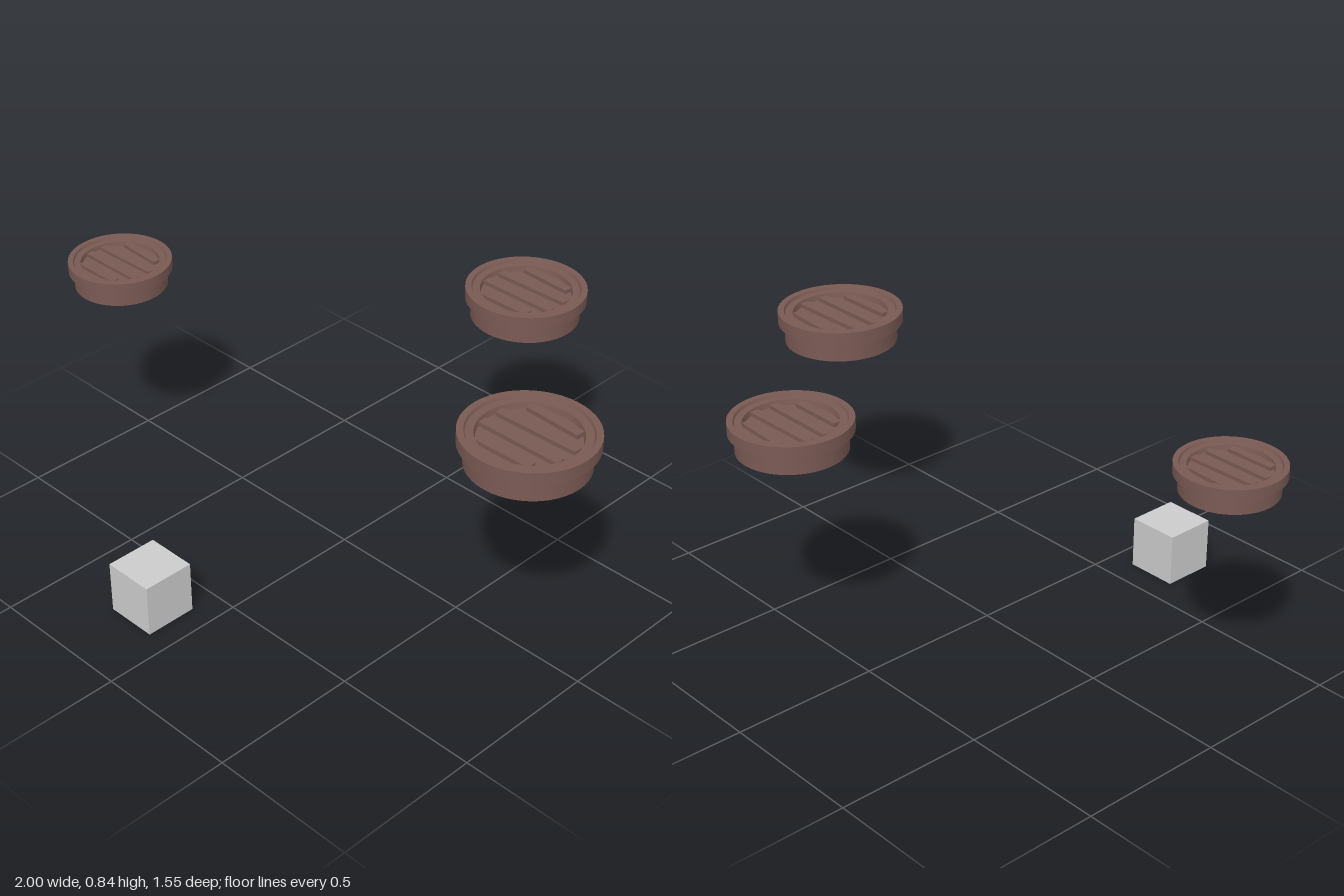
import * as THREE from 'three';
import { toCreasedNormals } from 'three/addons/utils/BufferGeometryUtils.js';

export function createModel() {
  const model = new THREE.Group();
  const brown = new THREE.MeshStandardMaterial({ color: 0x7a5a54 });
  brown.name = 'brown';
  const grey = new THREE.MeshStandardMaterial({ color: 0xcccccc });
  grey.name = 'light grey';

  // Unit-radius dish: narrow body, overhanging rim, stepped ring, sunken floor
  const profile = [
    [0, 0], [0.9, 0], [0.9, 0.325], [1, 0.325], [1, 0.525], [0.9, 0.525],
    [0.88, 0.48], [0.76, 0.48], [0.74, 0.39], [0, 0.39],
  ].map(([r, y]) => new THREE.Vector2(r, y));
  const dishGeometry = toCreasedNormals(new THREE.LatheGeometry(profile, 48), 0.5);

  // Slats across the floor: z position, slight turn
  const slats = [[-0.54, -0.05], [-0.18, 0.02], [0.18, 0], [0.53, 0.01]];

  function addDish(name, x, y, z, radius) {
    const dish = new THREE.Group();
    dish.name = name;
    const body = new THREE.Mesh(dishGeometry, brown);
    body.name = 'rimmedBody';
    dish.add(body);
    slats.forEach(([sz, turn]) => {
      const length = 2 * Math.sqrt(0.72 ** 2 - sz ** 2);
      const slat = new THREE.Mesh(new THREE.BoxGeometry(length, 0.08, 0.15), brown);
      slat.name = 'slat';
      slat.position.set(0, 0.42, sz);
      slat.rotation.y = turn;
      dish.add(slat);
    });
    dish.position.set(x, y, z);
    dish.scale.setScalar(radius);
    model.add(dish);
  }

  addDish('smallDish', -0.83, 0.73, 0.208, 0.17);
  addDish('mediumDish', 0.24, 0.727, -0.58, 0.195);
  addDish('largeDish', 0.787, 0.726, 0.04, 0.211);

  // Separate block on the ground
  const cube = new THREE.Mesh(new THREE.BoxGeometry(0.178, 0.18, 0.178), grey);
  cube.name = 'cube';
  cube.position.set(-0.174, 0.09, 0.686);
  model.add(cube);

  return model;
}
